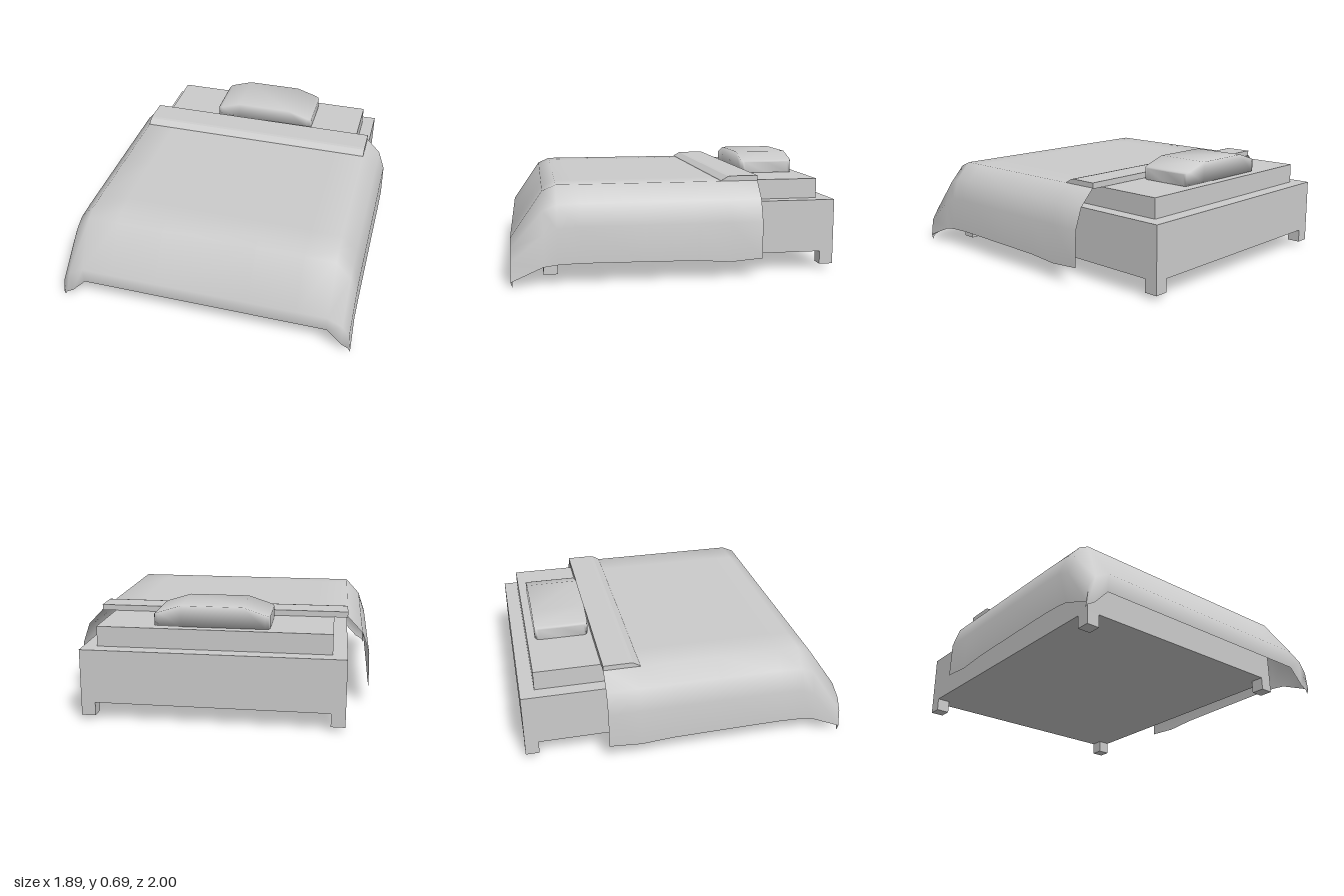
import * as THREE from 'three';
import { mergeVertices } from 'three/addons/utils/BufferGeometryUtils.js';

const material = new THREE.MeshStandardMaterial({ color: 0xcccccc });
const sheetMaterial = new THREE.MeshStandardMaterial({ color: 0xcccccc, side: THREE.DoubleSide });

// Box given by its minimum and maximum corners
function box(name, [x0, y0, z0], [x1, y1, z1]) {
  const geometry = new THREE.BoxGeometry(x1 - x0, y1 - y0, z1 - z0);
  geometry.translate((x0 + x1) / 2, (y0 + y1) / 2, (z0 + z1) / 2);
  const mesh = new THREE.Mesh(geometry, material);
  mesh.name = name;
  return mesh;
}

// Smooth skin through equally long rows of points
function skin(name, rows) {
  const n = rows[0].length;
  const index = [];
  for (let r = 0; r < rows.length - 1; r++) {
    for (let p = 0; p < n - 1; p++) {
      const a = r * n + p, b = a + 1, d = a + n, c = d + 1;
      index.push(a, d, b, b, d, c);
    }
  }
  let geometry = new THREE.BufferGeometry();
  geometry.setAttribute('position', new THREE.Float32BufferAttribute(rows.flat(2), 3));
  geometry.setIndex(index);
  geometry = mergeVertices(geometry);
  geometry.computeVertexNormals();
  const mesh = new THREE.Mesh(geometry, sheetMaterial);
  mesh.name = name;
  return mesh;
}

// Blanket: each row is z, then heights at the top edge, two bends and the hem
function blanket() {
  const stations = [
    [-0.5, 0.57, 0.47, 0.34, 0.115],
    [-0.3, 0.57, 0.47, 0.34, 0.1],
    [-0.1, 0.57, 0.47, 0.34, 0.115],
    [0.2, 0.57, 0.47, 0.34, 0.12],
    [0.6, 0.57, 0.47, 0.34, 0.125],
    [0.73, 0.57, 0.465, 0.335, 0.12],
    [0.81, 0.535, 0.43, 0.3, 0.11],
    [1.0, 0.26, 0.21, 0.14, 0.03],
    [0.99, 0.15, 0.05, 0.025, 0],
  ];
  const rows = stations.map(([z, top, bend1, bend2, hem], i) => {
    const hemX = i < 7 ? 0.935 : 0.945;
    const side = [[0.3, top], [0.6, top], [0.79, top], [0.885, bend1], [0.93, bend2], [hemX, hem]];
    const left = side.map(([x, y]) => [x, y, z]);
    const right = side.map(([x, y]) => [-x, y, z]).reverse();
    return [...right, ...left];
  });
  return skin('blanket', rows);
}

// Turned-down top end of the blanket, a profile extruded across the bed
function fold() {
  const profile = new THREE.Shape();
  profile.moveTo(0.5, 0.565);
  profile.lineTo(0.27, 0.565);
  profile.lineTo(0.275, 0.575);
  profile.lineTo(0.315, 0.598);
  profile.lineTo(0.335, 0.601);
  profile.lineTo(0.5, 0.601);
  const geometry = new THREE.ExtrudeGeometry(profile, { depth: 1.58, bevelEnabled: false });
  geometry.rotateY(Math.PI / 2);
  geometry.translate(-0.79, 0, 0);
  const mesh = new THREE.Mesh(geometry, sheetMaterial);
  mesh.name = 'blanketFold';
  return mesh;
}

// Pillow: cross-sections along x with half depth and top height
function pillow() {
  const sections = [
    [-0.332, 0, 0.635], [-0.332, 0.145, 0.635], [-0.325, 0.162, 0.642], [-0.305, 0.17, 0.649],
    [-0.17, 0.17, 0.693], [0.2, 0.17, 0.693],
    [0.34, 0.17, 0.649], [0.36, 0.162, 0.642], [0.367, 0.145, 0.635], [0.367, 0, 0.635],
  ];
  const base = 0.565, middle = -0.69;
  const rows = sections.map(([x, h, top]) => [
    [x, base, middle + h], [x, top, middle + h], [x, top, middle - h],
    [x, base, middle - h], [x, base, middle + h],
  ]);
  return skin('pillow', rows);
}

export function createModel() {
  const model = new THREE.Group();
  model.name = 'bed';

  model.add(box('bedFrame', [-0.79, 0.112, -1], [0.79, 0.44, 0.81]));
  model.add(box('mattress', [-0.705, 0.44, -0.91], [0.705, 0.563, 0.72]));

  // Legs at the four corners
  for (const [x0, x1] of [[-0.79, -0.705], [0.705, 0.79]]) {
    for (const [z0, z1] of [[-1, -0.915], [0.725, 0.81]]) {
      model.add(box('leg', [x0, 0.03, z0], [x1, 0.112, z1]));
    }
  }

  model.add(blanket(), fold(), pillow());
  return model;
}
